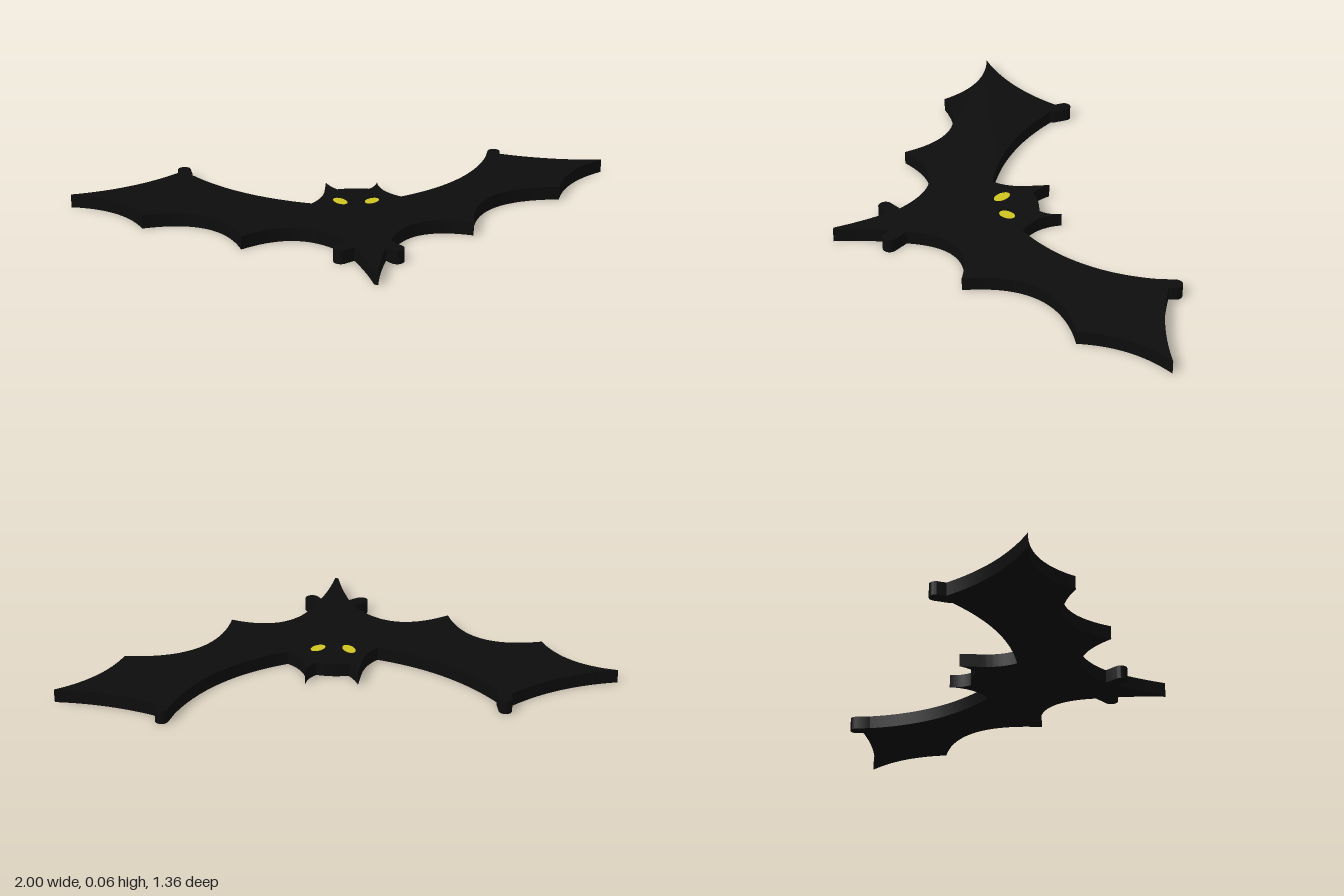
import * as THREE from 'three';
import { toCreasedNormals } from 'three/addons/utils/BufferGeometryUtils.js';

const THICK = 0.055;

// Extends a shape along bowed edges; each corner is [x, z, sag],
// where sag bows the edge leading to it inward, as a fraction of its length
function bowedEdges(shape, corners) {
  for (const [x, z, sag] of corners) {
    const { x: px, y: py } = shape.currentPoint;
    const dx = x - px, dy = -z - py;
    shape.quadraticCurveTo(
      (px + x) / 2 + 2 * sag * dy,
      (py - z) / 2 - 2 * sag * dx,
      x, -z,
    );
  }
}

// Stub with a round end at (x, z), running back to (rootX, rootZ) inside the body
function knobShape(x, z, rootX, rootZ, radius) {
  const angle = Math.atan2(rootZ - z, x - rootX);
  const shape = new THREE.Shape();
  shape.absarc(x, -z, radius, angle - Math.PI / 2, angle + Math.PI / 2);
  shape.absarc(rootX, -rootZ, radius, angle + Math.PI / 2, angle + Math.PI * 1.5);
  return shape;
}

function eyeShape(x, z, long, short, turn) {
  const shape = new THREE.Shape();
  shape.absellipse(x, -z, long, short, 0, Math.PI * 2, false, turn);
  return shape;
}

// Flat plate lying in the ground plane, with its underside at height y
function plate(name, shape, depth, y, material) {
  const geo = new THREE.ExtrudeGeometry(shape, { depth, bevelEnabled: false, curveSegments: 20 });
  geo.rotateX(-Math.PI / 2);
  const mesh = new THREE.Mesh(toCreasedNormals(geo, 0.5), material);
  mesh.name = name;
  mesh.position.y = y;
  return mesh;
}

export function createModel() {
  const black = new THREE.MeshStandardMaterial({ color: 0x0d0d0d });
  black.name = 'black';
  const yellow = new THREE.MeshStandardMaterial({ color: 0xd1c421 });
  yellow.name = 'yellow';

  // Silhouette, clockwise from the right wing tip
  const bat = new THREE.Shape();
  bat.moveTo(-1, -0.265);
  // right wing: leading edge, then inner edge to the neck
  bowedEdges(bat, [[-0.65, -0.1, 0.08], [-0.045, 0.112, 0.09]]);
  // head: cheek, ear, crown, ear, neck
  bowedEdges(bat, [
    [-0.03, -0.03, 0.08], [-0.048, -0.118, 0], [0.015, -0.06, 0.05],
    [0.137, -0.098, -0.06], [0.148, -0.188, 0.1], [0.28, -0.05, 0.14],
  ]);
  // left wing: inner edge, leading edge, scalloped trailing edge
  bowedEdges(bat, [
    [0.523, -0.66, 0.12], [0.575, -0.63, 0], [1, -0.668, 0.05],
    [0.875, -0.315, 0.1], [0.61, 0.14, 0.24], [0.34, 0.4, 0.27],
  ]);
  // tail
  bowedEdges(bat, [[0.36, 0.68, 0.03], [0.345, 0.68, 0], [0.23, 0.5, 0.02], [0.188, 0.45, 0]]);
  // right wing: scalloped trailing edge
  bowedEdges(bat, [[-0.217, 0.498, 0.27], [-0.65, 0.4, 0.25], [-1, 0.265, 0.14]]);

  const group = new THREE.Group();
  group.name = 'bat';
  group.add(
    plate('batBody', bat, THICK, 0, black),
    plate('rightThumb', knobShape(-0.653, -0.117, -0.63, -0.07, 0.026), THICK, 0, black),
    plate('leftThumb', knobShape(0.546, -0.655, 0.55, -0.6, 0.026), THICK, 0, black),
    plate('leftFoot', knobShape(0.378, 0.455, 0.32, 0.415, 0.028), THICK, 0, black),
    plate('rightFoot', knobShape(0.175, 0.508, 0.22, 0.45, 0.028), THICK, 0, black),
    plate('rightEye', eyeShape(0.058, 0.06, 0.038, 0.023, -0.7), 0.002, THICK - 0.001, yellow),
    plate('leftEye', eyeShape(0.178, 0.024, 0.034, 0.023, 1.1), 0.002, THICK - 0.001, yellow),
  );
  return group;
}
